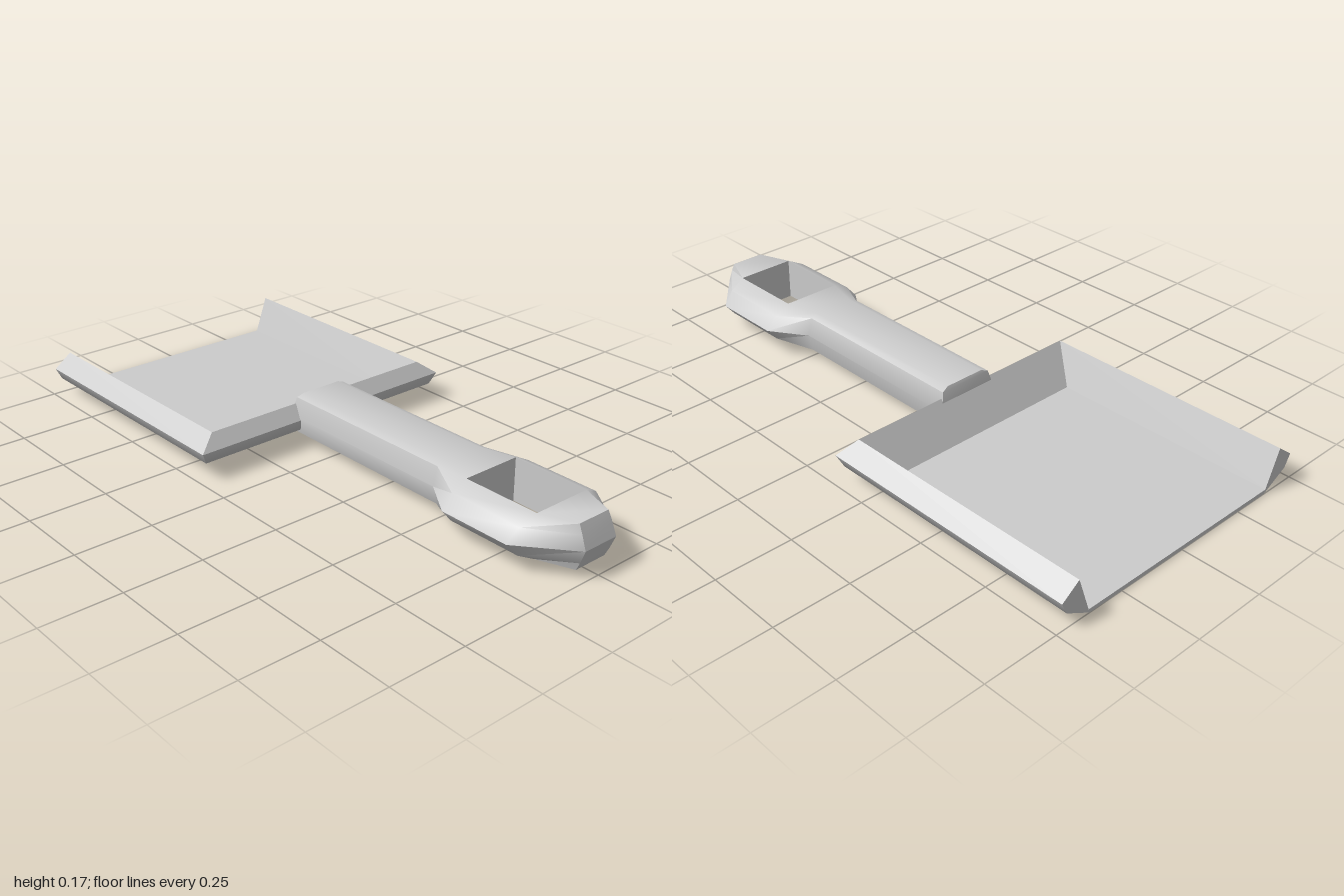
import * as THREE from 'three';
import { toCreasedNormals } from 'three/addons/utils/BufferGeometryUtils.js';

// Collects flat quads and triangles into a geometry with softened normals
function builder() {
  const pos = [];
  const tri = (a, b, c) => pos.push(...a, ...b, ...c);
  const quad = (a, b, c, d) => { tri(a, b, c); tri(a, c, d); };
  const geometry = (crease) => {
    const g = new THREE.BufferGeometry();
    g.setAttribute('position', new THREE.Float32BufferAttribute(pos, 3));
    return toCreasedNormals(g, crease);
  };
  return { tri, quad, geometry };
}

// Shallow pan: a bevelled rim section mitred around three sides, open at the back end
function panGeometry() {
  const { tri, quad, geometry } = builder();
  // half width, height, z of the rear wall: floor, rim top, outer edge, lower edge, underside
  const section = [
    [0.38, 0.013, -0.235],
    [0.425, 0.135, -0.155],
    [0.485, 0.09, -0.12],
    [0.465, 0.05, -0.135],
    [0.375, 0, -0.25],
  ];
  const rings = section.map(([x, y, z]) => [[-x, y, -1], [-x, y, z], [x, y, z], [x, y, -1]]);
  for (let i = 0; i < 4; i++) {
    const a = rings[i], b = rings[i + 1];
    for (let k = 0; k < 3; k++) quad(a[k], b[k], b[k + 1], a[k + 1]);
  }
  const top = rings[0], under = rings[4];
  quad(...top);
  quad(under[3], under[2], under[1], under[0]);
  // open lip and the ends of the side rims
  quad(top[0], top[3], under[3], under[0]);
  for (let i = 1; i < 4; i++) {
    tri(rings[0][3], rings[i][3], rings[i + 1][3]);
    tri(rings[0][0], rings[i + 1][0], rings[i][0]);
  }
  return geometry(0.85);
}

// Handle: bevelled sections lofted along z, with a rectangular hole through the head
function handleGeometry() {
  const { quad, geometry } = builder();
  const mid = 0.095;
  // top edge, shoulder, widest edge, each as [x, y, z]
  const stations = [
    [[0.07, 0.165, -0.15], [0.095, 0.155, -0.155], [0.11, mid, -0.17]],
    [[0.07, 0.165, 0.48], [0.095, 0.155, 0.48], [0.11, mid, 0.48]],
    [[0.1, 0.165, 0.6], [0.155, 0.138, 0.6], [0.192, mid, 0.6]],
    [[0.1, 0.165, 0.86], [0.155, 0.138, 0.85], [0.192, mid, 0.84]],
    [[0.058, 0.165, 0.97], [0.06, 0.138, 0.983], [0.062, mid, 1]],
  ];
  const rings = stations.map(([t, s, o]) => {
    const low = ([x, y, z]) => [x, 2 * mid - y, z];
    const half = [t, s, o, low(s), low(t)];
    return [...half, ...half.map(([x, y, z]) => [-x, y, z]).reverse()];
  });
  const hole = 2;
  for (let k = 0; k < 4; k++) {
    const a = rings[k], b = rings[k + 1];
    for (let i = 0; i < 10; i++) {
      if (k === hole && i % 5 === 4) continue;
      const j = (i + 1) % 10;
      quad(a[i], b[i], b[j], a[j]);
    }
  }
  // hole walls
  const a = rings[hole], b = rings[hole + 1];
  quad(a[0], a[4], b[4], b[0]);
  quad(a[5], a[9], b[9], b[5]);
  quad(a[0], a[9], a[5], a[4]);
  quad(b[9], b[0], b[4], b[5]);
  // end caps
  const first = rings[0], last = rings[4];
  for (let i = 0; i < 4; i++) {
    quad(last[i], last[9 - i], last[8 - i], last[i + 1]);
    quad(first[9 - i], first[i], first[i + 1], first[8 - i]);
  }
  return geometry(0.75);
}

export function createModel() {
  const group = new THREE.Group();
  group.name = 'shovel';
  const grey = new THREE.MeshStandardMaterial({ color: 0xcccccc });
  grey.name = 'light grey';
  const pan = new THREE.Mesh(panGeometry(), grey);
  pan.name = 'pan';
  const handle = new THREE.Mesh(handleGeometry(), grey);
  handle.name = 'handle';
  group.add(pan, handle);
  return group;
}
